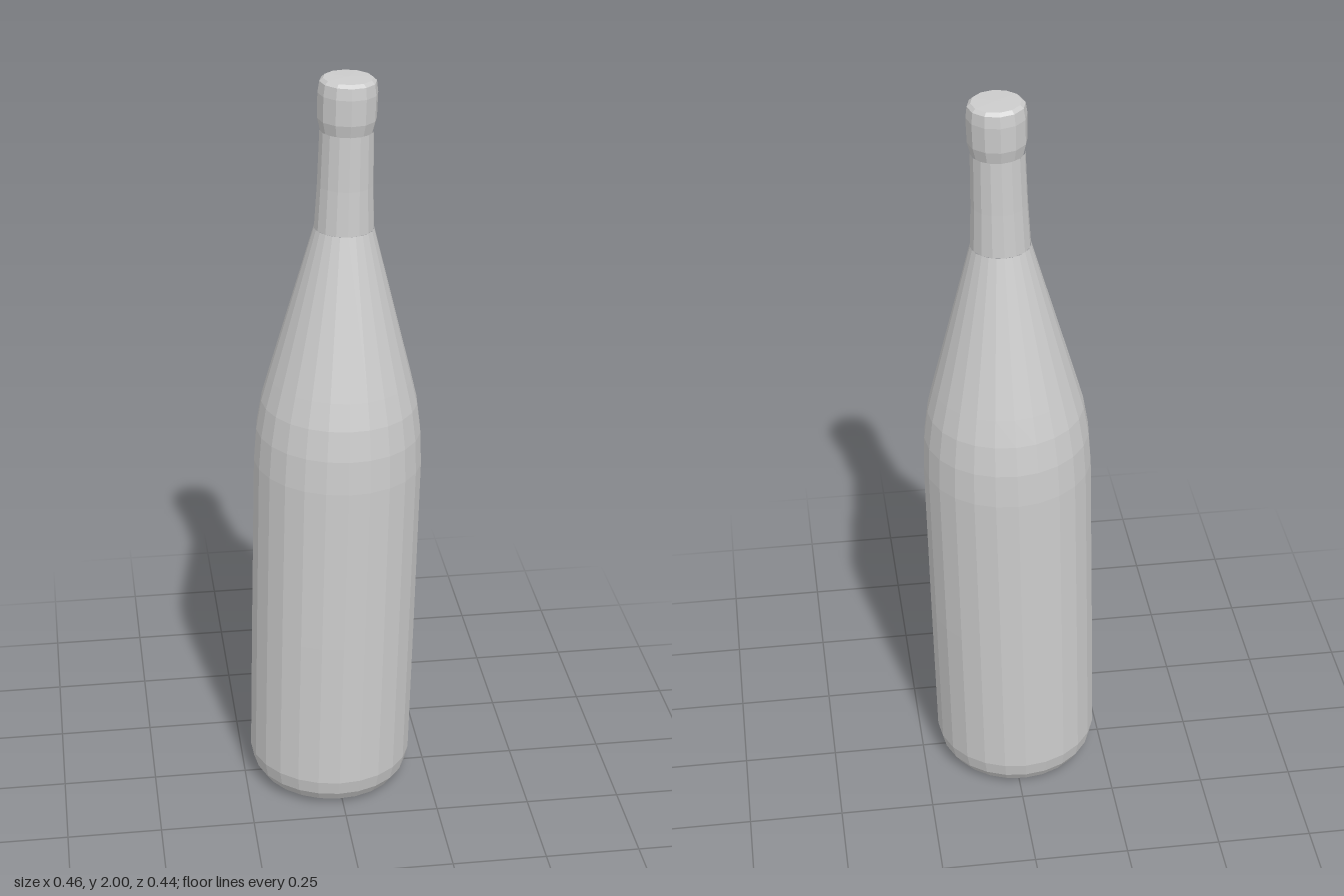
import * as THREE from 'three';

export function createModel() {
  const material = new THREE.MeshStandardMaterial({ color: 0xcccccc, flatShading: true });
  const bottle = new THREE.Group();
  bottle.name = 'bottle';

  // Turned section from [radius, height] pairs, listed bottom to top
  const addTurned = (name, sides, profile) => {
    const points = profile.map(([r, y]) => new THREE.Vector2(r, y));
    const mesh = new THREE.Mesh(new THREE.LatheGeometry(points, sides), material);
    mesh.name = name;
    bottle.add(mesh);
  };

  // Closed base with a rounded heel, straight wall and sloping shoulder
  addTurned('body', 24, [
    [0, 0], [0.172, 0], [0.192, 0.012], [0.21, 0.04], [0.219, 0.08],
    [0.22, 0.5], [0.22, 0.96], [0.215, 1.05], [0.203, 1.13], [0.185, 1.2], [0.076, 1.605],
  ]);

  // Slightly tapering neck
  addTurned('neck', 16, [[0.076, 1.605], [0.071, 1.72], [0.068, 1.86]]);

  // Bulging lip, closed at the top
  addTurned('lip', 12, [
    [0.066, 1.857], [0.074, 1.89], [0.075, 1.955], [0.071, 1.984], [0.062, 1.992], [0, 1.994],
  ]);

  // The whole bottle leans a little to its left
  bottle.rotation.z = -0.025;
  bottle.position.set(-0.015, 0.004, -0.001);

  const model = new THREE.Group();
  model.name = 'leaningBottle';
  model.add(bottle);
  return model;
}
